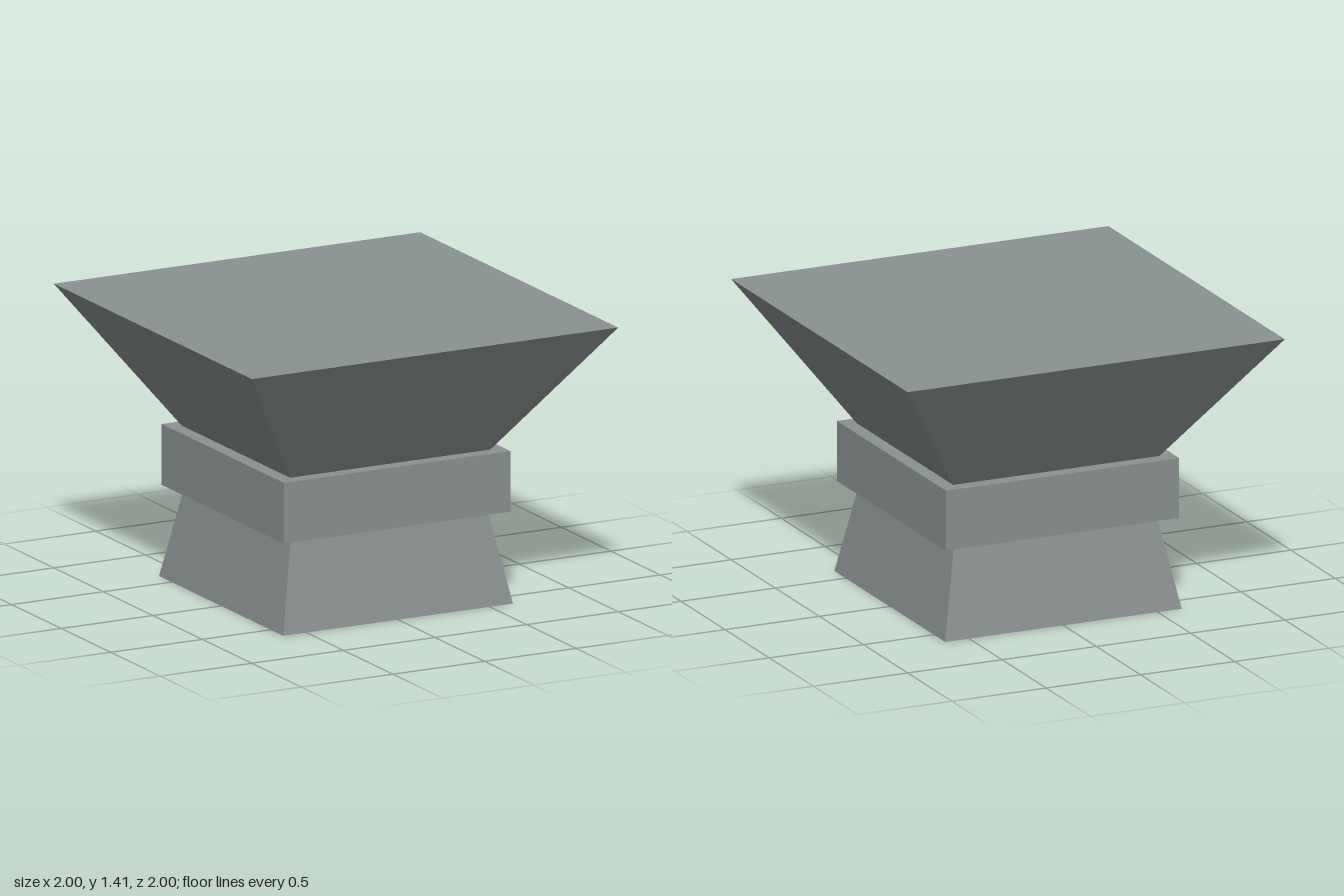
import * as THREE from 'three';

// Square block whose half-width changes from bottom to top
function taperedBlock(name, y0, y1, bottomHalf, topHalf, material) {
  const geometry = new THREE.BoxGeometry(2, y1 - y0, 2);
  geometry.translate(0, (y0 + y1) / 2, 0);
  const pos = geometry.attributes.position;
  const middle = (y0 + y1) / 2;
  for (let i = 0; i < pos.count; i++) {
    const half = pos.getY(i) > middle ? topHalf : bottomHalf;
    pos.setX(i, pos.getX(i) * half);
    pos.setZ(i, pos.getZ(i) * half);
  }
  geometry.computeVertexNormals();
  const mesh = new THREE.Mesh(geometry, material);
  mesh.name = name;
  return mesh;
}

export function createModel() {
  const group = new THREE.Group();
  group.name = 'pedestal';
  const stone = new THREE.MeshStandardMaterial({ color: 0x8a9191 });
  stone.name = 'grey stone';

  group.add(
    taperedBlock('base', 0, 0.455, 0.627, 0.537, stone),
    taperedBlock('collar', 0.455, 0.757, 0.618, 0.618, stone),
    taperedBlock('flaredTop', 0.757, 1.413, 0.547, 1, stone),
  );
  return group;
}
